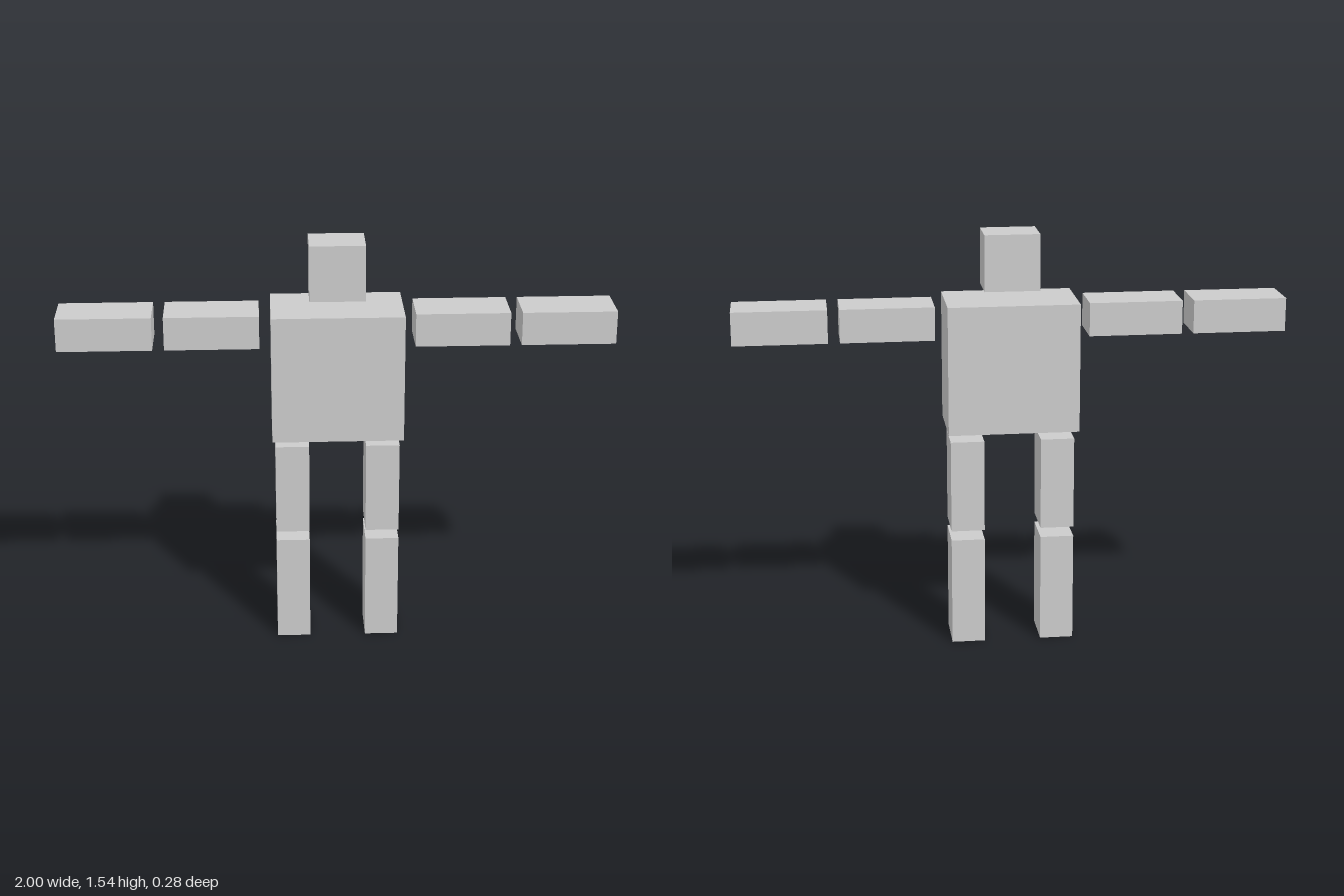
import * as THREE from 'three';

const material = new THREE.MeshStandardMaterial({ color: 0xcccccc, flatShading: true });

// Box given by its lower and upper limits on x and y, and its depth centred on z
function block(name, x0, x1, y0, y1, depth) {
  const mesh = new THREE.Mesh(new THREE.BoxGeometry(x1 - x0, y1 - y0, depth), material);
  mesh.position.set((x0 + x1) / 2, (y0 + y1) / 2, 0);
  mesh.name = name;
  return mesh;
}

export function createModel() {
  const model = new THREE.Group();
  model.name = 'blockFigure';

  // Head and torso
  model.add(block('head', -0.1, 0.1, 1.335, 1.54, 0.155));
  model.add(block('torso', -0.238, 0.238, 0.823, 1.295, 0.277));

  // Limbs, defined on the left (+x) and mirrored to the right
  const limbs = [
    ['UpperArm', 0.279, 0.618, 1.165, 1.287, 0.175],
    ['Forearm', 0.66, 1.0, 1.165, 1.287, 0.175],
    ['Thigh', 0.104, 0.227, 0.44, 0.782, 0.175],
    ['LowerLeg', 0.104, 0.227, 0, 0.404, 0.175],
  ];
  for (const [part, x0, x1, y0, y1, depth] of limbs) {
    model.add(block('left' + part, x0, x1, y0, y1, depth));
    model.add(block('right' + part, -x1, -x0, y0, y1, depth));
  }

  return model;
}
